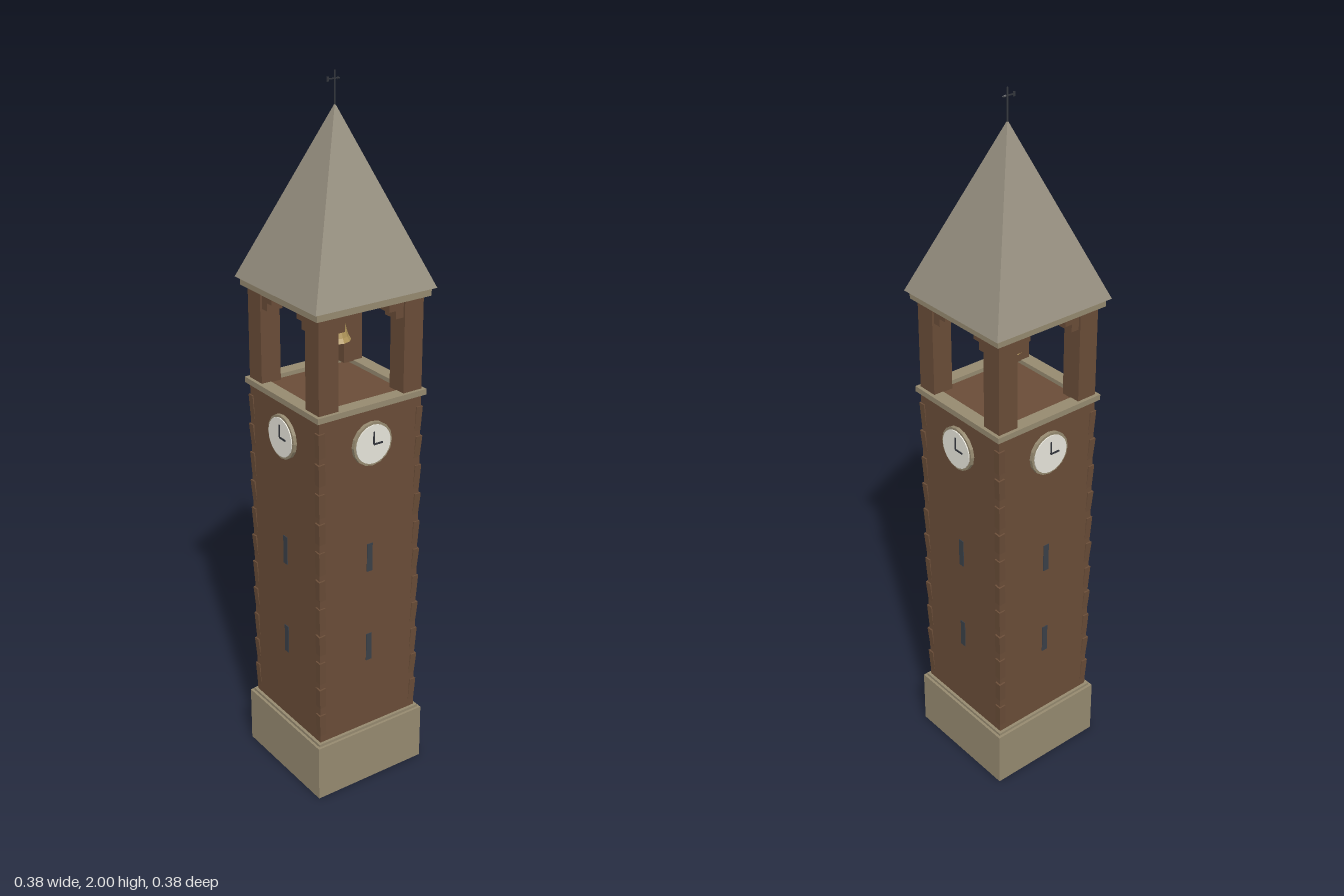
import * as THREE from 'three';

const mat = (color, flatShading = true) => new THREE.MeshStandardMaterial({ color, flatShading });
const brick = mat(0x6a4d38), stone = mat(0x968a70), slate = mat(0x979080);
const dark = mat(0x3a4048), white = mat(0xe8e6dc), bronze = mat(0xb0955a), iron = mat(0x33363c);

function add(parent, name, geometry, material, x = 0, y = 0, z = 0) {
  const m = new THREE.Mesh(geometry, material);
  m.name = name;
  m.position.set(x, y, z);
  parent.add(m);
  return m;
}

// box given by its size, horizontal centre and bottom height
const block = (p, name, material, w, h, d, x, y, z) =>
  add(p, name, new THREE.BoxGeometry(w, h, d), material, x, y + h / 2, z);

// square frame with an open middle, lying flat
function frame(p, name, material, outer, inner, h, y) {
  const s = new THREE.Shape();
  s.moveTo(-outer, -outer).lineTo(outer, -outer).lineTo(outer, outer).lineTo(-outer, outer).closePath();
  const hole = new THREE.Path();
  hole.moveTo(-inner, -inner).lineTo(-inner, inner).lineTo(inner, inner).lineTo(inner, -inner).closePath();
  s.holes.push(hole);
  const g = new THREE.ExtrudeGeometry(s, { depth: h, bevelEnabled: false });
  g.rotateX(-Math.PI / 2);
  return add(p, name, g, material, 0, y, 0);
}

// clock with rim, dial and two hands, facing +z
function clock(side) {
  const g = new THREE.Group();
  g.name = 'clock';
  g.position.set(0, 1.065, 0.164);
  const rim = new THREE.CylinderGeometry(0.062, 0.062, 0.01, 16).rotateX(Math.PI / 2);
  add(g, 'clockRim', rim, stone, 0, 0, 0.005);
  const dial = new THREE.CylinderGeometry(0.055, 0.055, 0.004, 24).rotateX(Math.PI / 2);
  add(g, 'clockDial', dial, white, 0, 0, 0.011);
  add(g, 'minuteHand', new THREE.BoxGeometry(0.004, 0.036, 0.002), iron, 0, 0.018, 0.014);
  add(g, 'hourHand', new THREE.BoxGeometry(0.028, 0.005, 0.002), iron, 0.014, 0, 0.014);
  side.add(g);
}

export function createModel() {
  const tower = new THREE.Group();
  tower.name = 'clockTower';

  // plinth and shaft
  block(tower, 'plinth', stone, 0.36, 0.17, 0.36, 0, 0, 0);
  block(tower, 'plinthCap', stone, 0.345, 0.008, 0.345, 0, 0.17, 0);
  block(tower, 'shaft', brick, 0.328, 0.992, 0.328, 0, 0.175, 0);

  // belfry floor edge
  frame(tower, 'belfryCornice', stone, 0.174, 0.135, 0.016, 1.163);

  // roof
  block(tower, 'roofCornice', stone, 0.356, 0.022, 0.356, 0, 1.438, 0);
  const roof = new THREE.ConeGeometry(0.188 * Math.SQRT2, 0.46, 4).rotateY(Math.PI / 4);
  add(tower, 'roof', roof, slate, 0, 1.69, 0);

  // the four faces: clock, slit windows
  for (let i = 0; i < 4; i++) {
    const side = new THREE.Group();
    side.name = 'towerFace';
    side.rotation.y = i * Math.PI / 2;
    clock(side);
    for (const y of [0.395, 0.68]) block(side, 'slitWindow', dark, 0.018, 0.085, 0.006, 0, y, 0.163);

    // rough bricks, slightly tilted, up one corner
    for (let k = 0; k < 11; k++) {
      const q = block(side, 'cornerBrick', brick, 0.02, 0.07, 0.02, 0.156, 0.2 + k * 0.086, 0.156);
      const tilt = k % 2 ? 0.07 : 0.05;
      q.rotation.set(tilt, 0, -tilt);
    }

    // belfry post with stepped corbels on its two inner sides
    block(side, 'belfryPost', brick, 0.06, 0.262, 0.06, 0.134, 1.177, 0.134);
    for (const [reach, y, h] of [[0.024, 1.388, 0.022], [0.046, 1.41, 0.029]]) {
      const c = 0.104 - reach / 2;
      block(side, 'corbel', brick, reach, h, 0.048, c, y, 0.134);
      block(side, 'corbel', brick, 0.048, h, reach, 0.134, y, c);
    }
    tower.add(side);
  }

  // bell hung from a thin bar
  const bellProfile = [[0, 0.078], [0.018, 0.078], [0.024, 0.07], [0.029, 0.035], [0.036, 0.012], [0.043, 0], [0.036, 0], [0.02, 0.06], [0, 0.065]]
    .map(([r, y]) => new THREE.Vector2(r, y)).reverse();
  const bellMat = bronze.clone();
  bellMat.side = THREE.DoubleSide;
  add(tower, 'bell', new THREE.LatheGeometry(bellProfile, 12), bellMat, 0, 1.303, 0);
  block(tower, 'bellBar', iron, 0.16, 0.004, 0.016, 0, 1.393, 0);
  block(tower, 'bellHanger', iron, 0.004, 0.06, 0.004, 0, 1.379, 0);

  // weather vane
  add(tower, 'vaneRod', new THREE.CylinderGeometry(0.002, 0.002, 0.09, 6), iron, 0, 1.955, 0);
  block(tower, 'vaneArrow', iron, 0.036, 0.003, 0.003, -0.004, 1.978, 0);
  const tip = new THREE.ConeGeometry(0.004, 0.01, 4).rotateZ(-Math.PI / 2);
  add(tower, 'vaneTip', tip, iron, 0.012, 1.9795, 0);
  block(tower, 'vaneTail', iron, 0.007, 0.012, 0.002, -0.021, 1.9735, 0);

  return tower;
}
